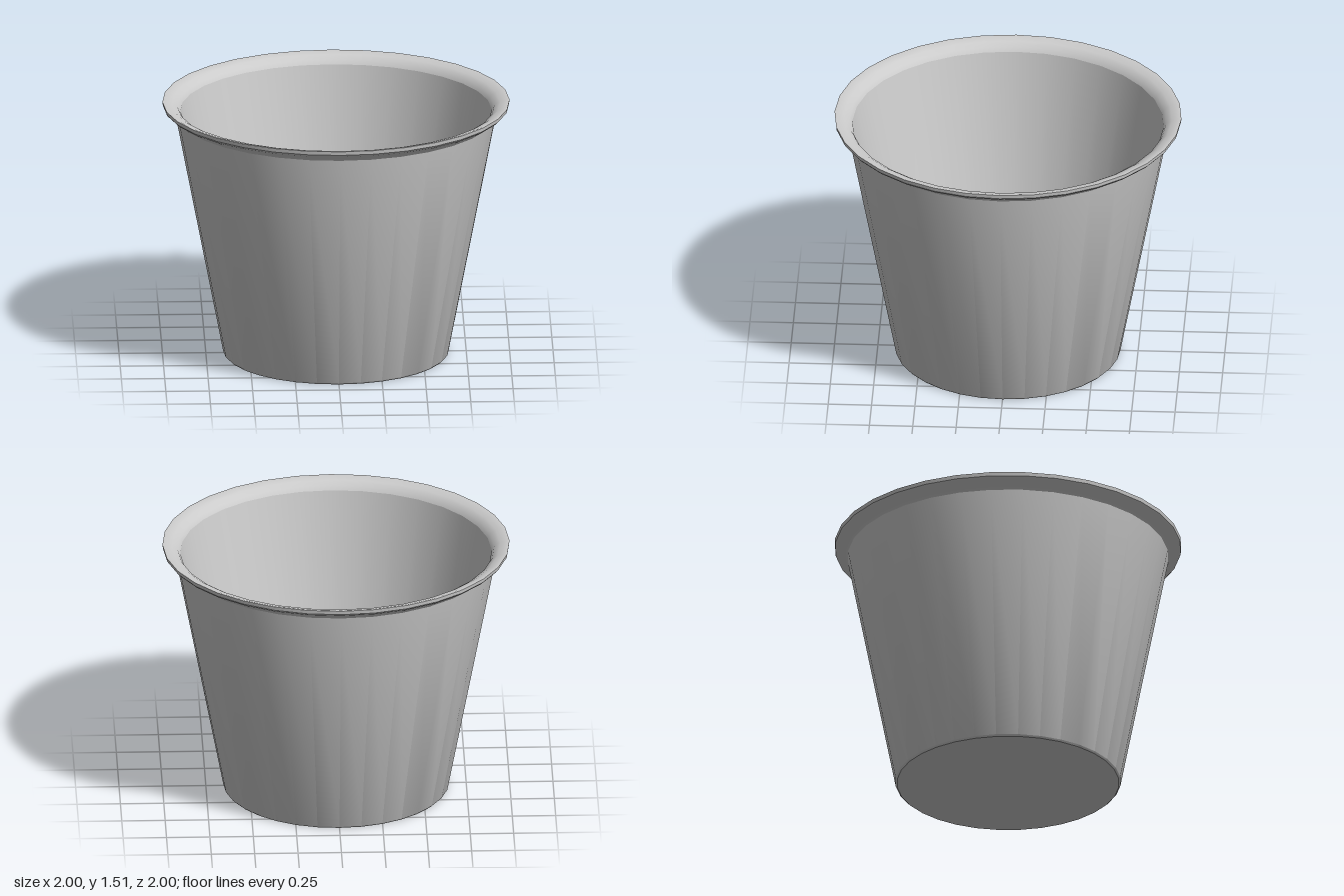
import * as THREE from 'three';
import { toCreasedNormals } from 'three/addons/utils/BufferGeometryUtils.js';

const SIDES = 32;
const material = new THREE.MeshStandardMaterial({ color: 0xcccccc });

// Revolve a profile of [radius, height] points, keeping sharp edges crisp
function turned(name, profile) {
  const points = profile.map(([r, y]) => new THREE.Vector2(r, y));
  const geometry = toCreasedNormals(new THREE.LatheGeometry(points, SIDES), 0.6);
  const mesh = new THREE.Mesh(geometry, material);
  mesh.name = name;
  return mesh;
}

// Flat disc facing up or down
function disc(name, radius, y, up) {
  const geometry = new THREE.CircleGeometry(radius, SIDES);
  geometry.rotateX(up ? -Math.PI / 2 : Math.PI / 2);
  const mesh = new THREE.Mesh(geometry, material);
  mesh.name = name;
  mesh.position.y = y;
  return mesh;
}

export function createModel() {
  const cup = new THREE.Group();
  cup.name = 'taperedCup';

  cup.add(
    // Tapered outer wall with a slightly eased foot
    turned('outerWall', [[0.64, 0], [0.65, 0.01], [0.925, 1.435]]),
    // Flared lip: underside, thin edge, sloping top
    turned('flaredRim', [
      [0.925, 1.435], [0.94, 1.452], [0.985, 1.477], [0.997, 1.49],
      [1, 1.512], [0.99, 1.513], [0.945, 1.5], [0.912, 1.48], [0.897, 1.455],
    ]),
    // Inside of the cup, running down to the floor
    turned('innerWall', [[0.897, 1.455], [0.598, 0.04]]),
    disc('innerFloor', 0.598, 0.04, true),
    disc('underside', 0.64, 0, false),
  );
  return cup;
}
